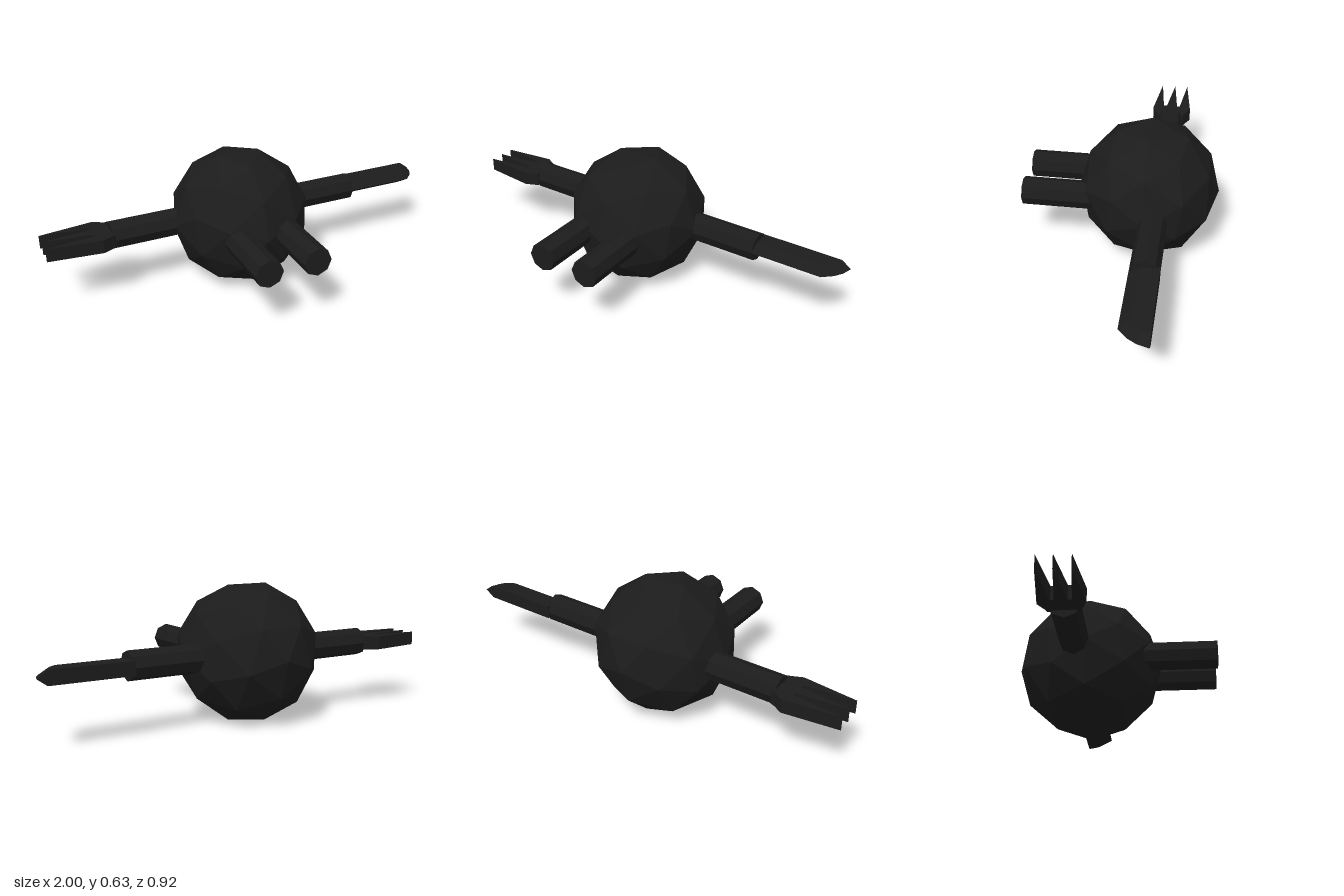
import * as THREE from 'three';
import { ConvexGeometry } from 'three/addons/geometries/ConvexGeometry.js';

const CX = -0.055, CY = 0.32, ARM_Z = -0.175, LIMB_R = 0.067, HALF = 0.0325;

export function createModel() {
  const model = new THREE.Group();
  model.name = 'model';
  const charcoal = new THREE.MeshStandardMaterial({ color: 0x1c1c1c, flatShading: true });
  charcoal.name = 'charcoal';

  const add = (name, geometry, x = 0, y = 0, z = 0) => {
    const mesh = new THREE.Mesh(geometry, charcoal);
    mesh.name = name;
    mesh.position.set(x, y, z);
    model.add(mesh);
    return mesh;
  };

  // Faceted ball body, with one corner of the icosahedron facing front
  const ball = new THREE.IcosahedronGeometry(0.333, 1);
  ball.rotateX(-Math.atan(2 / (1 + Math.sqrt(5))));
  add('body', ball, CX, CY, -0.13);

  // Octagonal legs pointing forward
  for (const [name, x] of [['rightLeg', -0.175], ['leftLeg', 0.06]]) {
    const leg = new THREE.CylinderGeometry(LIMB_R, LIMB_R, 0.46, 8);
    leg.rotateX(Math.PI / 2);
    add(name, leg, x, CY, 0.23);
  }

  // Octagonal arms pointing sideways
  for (const [name, x0, x1] of [['rightArm', -0.69, -0.2], ['leftArm', 0.1, 0.58]]) {
    const arm = new THREE.CylinderGeometry(LIMB_R, LIMB_R, x1 - x0, 8);
    arm.rotateZ(Math.PI / 2);
    add(name, arm, (x0 + x1) / 2, CY, ARM_Z);
  }

  // Three-pronged claw on the right arm, drawn as x and z
  const outline = [
    [-0.68, -0.245], [-0.70, -0.252], [-0.745, -0.278], [-1, -0.246], [-0.773, -0.22],
    [-0.773, -0.205], [-1, -0.178], [-0.773, -0.15], [-0.773, -0.133], [-1, -0.107],
    [-0.745, -0.078], [-0.70, -0.098], [-0.68, -0.105],
  ];
  const clawShape = new THREE.Shape(outline.map(([x, z]) => new THREE.Vector2(x, -z)));
  const claw = new THREE.ExtrudeGeometry(clawShape, { depth: 2 * HALF, bevelEnabled: false });
  claw.rotateX(-Math.PI / 2);
  add('claw', claw, 0, CY - HALF, 0);

  // Blade on the left arm: flat spine at the back, sharp edge curving to the tip
  const edge = [[0.57, -0.108], [0.915, -0.108], [0.96, -0.15], [0.985, -0.19], [1, -0.242]];
  const shoulder = [[0.57, -0.155], [0.89, -0.155], [0.925, -0.18], [0.94, -0.205], [0.955, -0.242], [0.57, -0.242]];
  const points = edge.map(([x, z]) => new THREE.Vector3(x, 0, z));
  for (const [x, z] of shoulder) {
    for (const y of [-HALF, HALF]) points.push(new THREE.Vector3(x, y, z));
  }
  add('blade', new ConvexGeometry(points), 0, CY, 0);

  return model;
}
